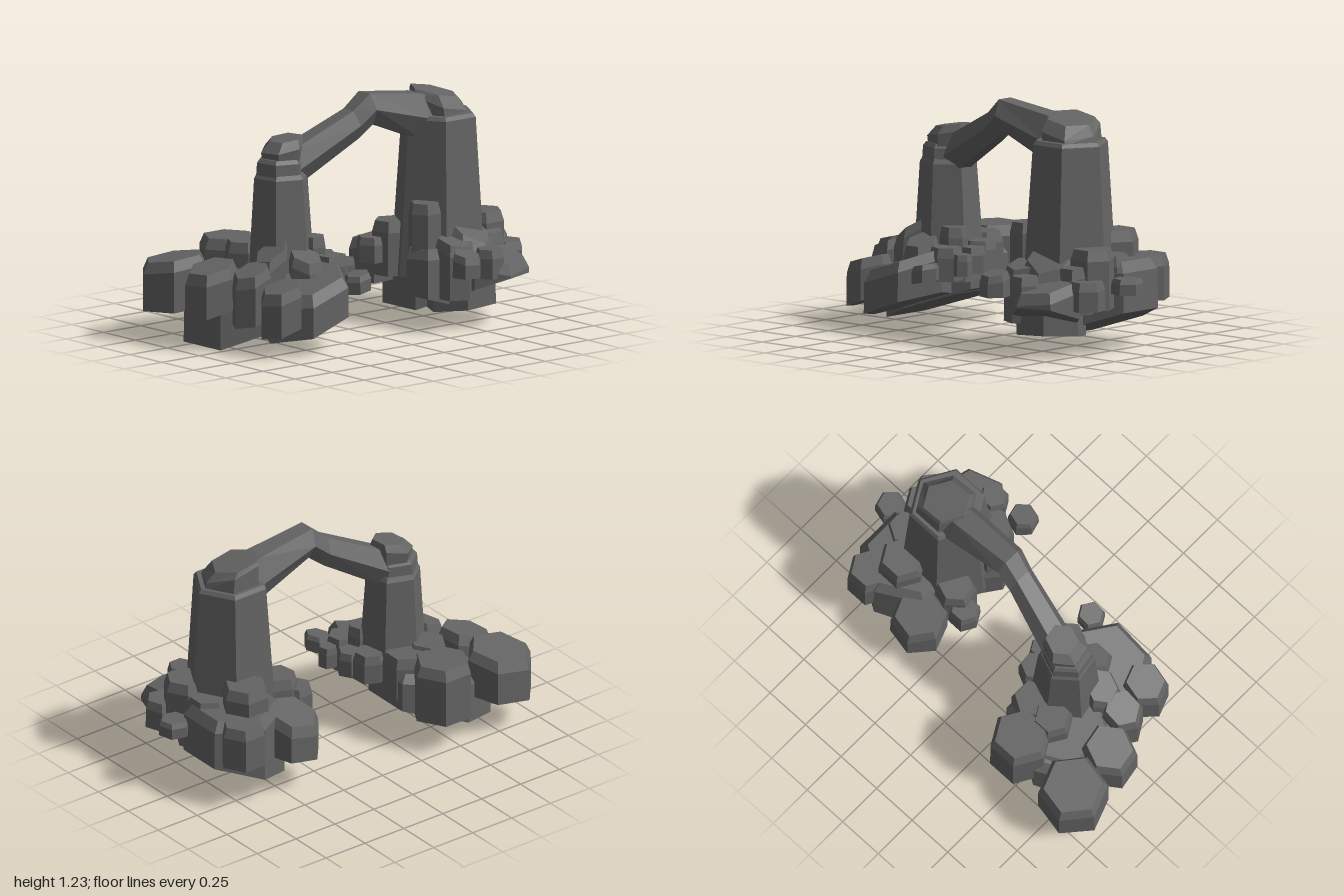
import * as THREE from 'three';

const stone = new THREE.MeshStandardMaterial({ color: 0x646464 });
stone.name = 'grey stone';

// Skin a stack of equal-sided rings, with both ends closed
function loft(rings) {
  const pos = [];
  const tri = (...pts) => pts.forEach((p) => pos.push(p.x, p.y, p.z));
  const middle = (r) => r.reduce((s, p) => s.add(p), new THREE.Vector3()).divideScalar(r.length);
  const n = rings[0].length;
  const top = rings[rings.length - 1];
  const cb = middle(rings[0]);
  const ct = middle(top);
  for (let i = 0; i < n; i++) {
    const j = (i + 1) % n;
    for (let k = 0; k + 1 < rings.length; k++) {
      const a = rings[k], b = rings[k + 1];
      tri(a[j], a[i], b[i]);
      tri(a[j], b[i], b[j]);
    }
    tri(cb, rings[0][i], rings[0][j]);
    tri(ct, top[j], top[i]);
  }
  const g = new THREE.BufferGeometry();
  g.setAttribute('position', new THREE.Float32BufferAttribute(pos, 3));
  g.computeVertexNormals();
  return g;
}

// Horizontal hexagon whose height may slope along x and z
function hexRing(x, y, z, r, turn = 0, sx = 0, sz = 0) {
  return Array.from({ length: 6 }, (_, i) => {
    const a = (i * Math.PI) / 3 + THREE.MathUtils.degToRad(turn);
    const dx = Math.cos(a) * r, dz = Math.sin(a) * r;
    return new THREE.Vector3(x + dx, y + dx * sx + dz * sz, z + dz);
  });
}

function add(group, name, rings) {
  const m = new THREE.Mesh(loft(rings), stone);
  m.name = name;
  group.add(m);
}

// Six-sided boulder with a bevelled top; bottom and top slopes are [x, z]
function boulder(group, name, [x, z, r, y0, y1, turn = 0, bottom = [0, 0], top = [0, 0], lean = [0, 0]]) {
  const bevel = Math.min(0.055, (y1 - y0) * 0.3);
  const [lx, lz] = lean;
  add(group, name, [
    hexRing(x, y0, z, r * 0.98, turn, ...bottom),
    hexRing(x + lx * 0.8, y1 - bevel, z + lz * 0.8, r * 0.97, turn, ...top),
    hexRing(x + lx, y1, z + lz, r * 0.82, turn, ...top),
  ]);
}

export function createModel() {
  const model = new THREE.Group();
  model.name = 'rockArch';

  // Tall pillar with stepped, slanted cap
  add(model, 'tallPillar', [
    hexRing(0.53, 0.25, 0.08, 0.255), hexRing(0.535, 1.06, 0.08, 0.2), hexRing(0.535, 1.08, 0.08, 0.185),
  ]);
  add(model, 'tallPillarCap', [
    hexRing(0.54, 1.07, 0.075, 0.16), hexRing(0.535, 1.14, 0.075, 0.155, 0, -0.2, -0.25),
    hexRing(0.52, 1.185, 0.06, 0.125, 0, -0.18, -0.12),
  ]);

  // Short pillar with collar and tilted cap
  add(model, 'shortPillar', [
    hexRing(-0.415, 0.25, -0.04, 0.185, 20), hexRing(-0.42, 0.85, -0.04, 0.145, 20),
    hexRing(-0.42, 0.875, -0.04, 0.13, 20),
  ]);
  add(model, 'shortPillarCollar', [
    hexRing(-0.425, 0.86, -0.04, 0.13, 20), hexRing(-0.425, 0.93, -0.04, 0.125, 20),
    hexRing(-0.425, 0.95, -0.04, 0.11, 20),
  ]);
  add(model, 'shortPillarCap', [
    hexRing(-0.41, 0.94, -0.04, 0.11, 20), hexRing(-0.41, 1.0, -0.04, 0.115, 20, 0.2),
    hexRing(-0.39, 1.045, -0.04, 0.085, 20, 0.15),
  ]);

  // Bridge: hexagonal sections strung from pillar to pillar
  const section = ([x, y, z, h, w, skew]) => Array.from({ length: 6 }, (_, i) => {
    const a = (i * Math.PI) / 3;
    const dy = (Math.sin(a) * h) / 0.866;
    return new THREE.Vector3(x + dy * skew, y + dy, z + Math.cos(a) * w);
  });
  add(model, 'bridge', [
    [-0.37, 0.89, -0.04, 0.09, 0.095, -0.3], [-0.02, 1.08, 0.04, 0.075, 0.08, -0.2],
    [0.07, 1.155, 0.055, 0.08, 0.088, -0.15], [0.4, 1.07, 0.055, 0.12, 0.11, 0],
    [0.52, 1.04, 0.055, 0.12, 0.11, 0],
  ].map(section));

  // Boulders: x, z, radius, bottom, top, turn, bottom slope, top slope, lean
  const shortBase = [
    [-0.585, -0.17, 0.295, 0.09, 0.35, 30, [0.35, 0], [0.2, 0]],
    [-0.51, -0.18, 0.29, 0.119, 0.38, 30, [0.35, 0], [0.15, 0]],
    [-0.47, 0.21, 0.24, 0.14, 0.37, 0, [0.35, 0], [0.33, -0.1]],
    [-0.82, -0.41, 0.185, 0.18, 0.43, 10, [0.1, 0], [0.1, 0.12]],
    [-0.45, -0.41, 0.165, 0.18, 0.49, 0],
    [-0.81, -0.13, 0.145, 0.2, 0.42, 20, [0.3, 0], [0.25, 0]],
    [-0.68, 0.27, 0.12, 0.14, 0.36, 10, [0.35, 0], [0.3, 0]],
    [-0.71, 0.07, 0.11, 0.16, 0.42, 0, [0.3, 0], [0.4, 0]],
    [-0.59, 0.06, 0.1, 0.25, 0.5, 15, [0, 0], [0.7, 0], [0.02, 0]],
    [-0.5, -0.23, 0.11, 0.25, 0.5, 0],
    [-0.36, -0.22, 0.12, 0.25, 0.48, 30],
    [-0.29, 0.06, 0.075, 0.3, 0.54, 10],
    [-0.24, -0.08, 0.09, 0.31, 0.46, 25],
    [-0.23, 0.34, 0.075, 0.29, 0.38, 0, [0.2, 0], [0.2, 0]],
    [-0.15, 0.15, 0.055, 0.31, 0.42, 15],
    [-0.19, 0.02, 0.07, 0.31, 0.44, 0],
    [-0.25, 0.16, 0.09, 0.28, 0.45, 20],
    [-0.42, 0.16, 0.1, 0.3, 0.47, 0, [0, 0], [0, -0.4]],
  ];
  const tallBase = [
    [0.64, -0.09, 0.265, 0.13, 0.47, 30, [0.36, 0]],
    [0.55, 0.24, 0.19, 0.09, 0.45, 0, [0.06, 0.1], [0, -0.5]],
    [0.64, 0.38, 0.19, 0.21, 0.38, 40, [0.12, 0.36], [0, -0.25]],
    [0.58, 0.3, 0.15, 0.3, 0.51, 20, [0, 0], [-0.25, -0.65], [-0.01, -0.04]],
    [0.4, -0.27, 0.15, 0.18, 0.41, 10, [0.1, 0], [0.1, 0.3]],
    [0.73, -0.28, 0.125, 0.24, 0.47, 0],
    [0.62, -0.16, 0.13, 0.25, 0.6, 0],
    [0.74, 0, 0.11, 0.3, 0.5, 30],
    [0.91, 0.06, 0.085, 0.32, 0.4, 15],
    [0.76, 0.16, 0.12, 0.24, 0.55, 0],
    [0.82, 0.27, 0.1, 0.25, 0.4, 10],
    [0.72, 0.24, 0.1, 0.22, 0.47, 0, [0, 0], [0, -0.2]],
    [0.38, 0.48, 0.08, 0.3, 0.42, 15, [0, 0], [0, -0.2]],
    [0.24, -0.1, 0.085, 0.31, 0.44, 0],
    [0.34, -0.06, 0.11, 0.24, 0.52, 20],
    [0.34, 0.2, 0.09, 0.2, 0.65, 0],
    [0.36, 0.2, 0.13, 0.14, 0.42, 10, [-0.3, 0]],
    [0.44, 0.32, 0.11, 0.16, 0.46, 25, [0, 0], [0, -0.3]],
    [0.56, 0.45, 0.08, 0.27, 0.42, 0],
  ];
  for (const [name, rocks] of [['shortPillarBase', shortBase], ['tallPillarBase', tallBase]]) {
    const base = new THREE.Group();
    base.name = name;
    rocks.forEach((r) => boulder(base, 'boulder', r));
    model.add(base);
  }

  return model;
}
